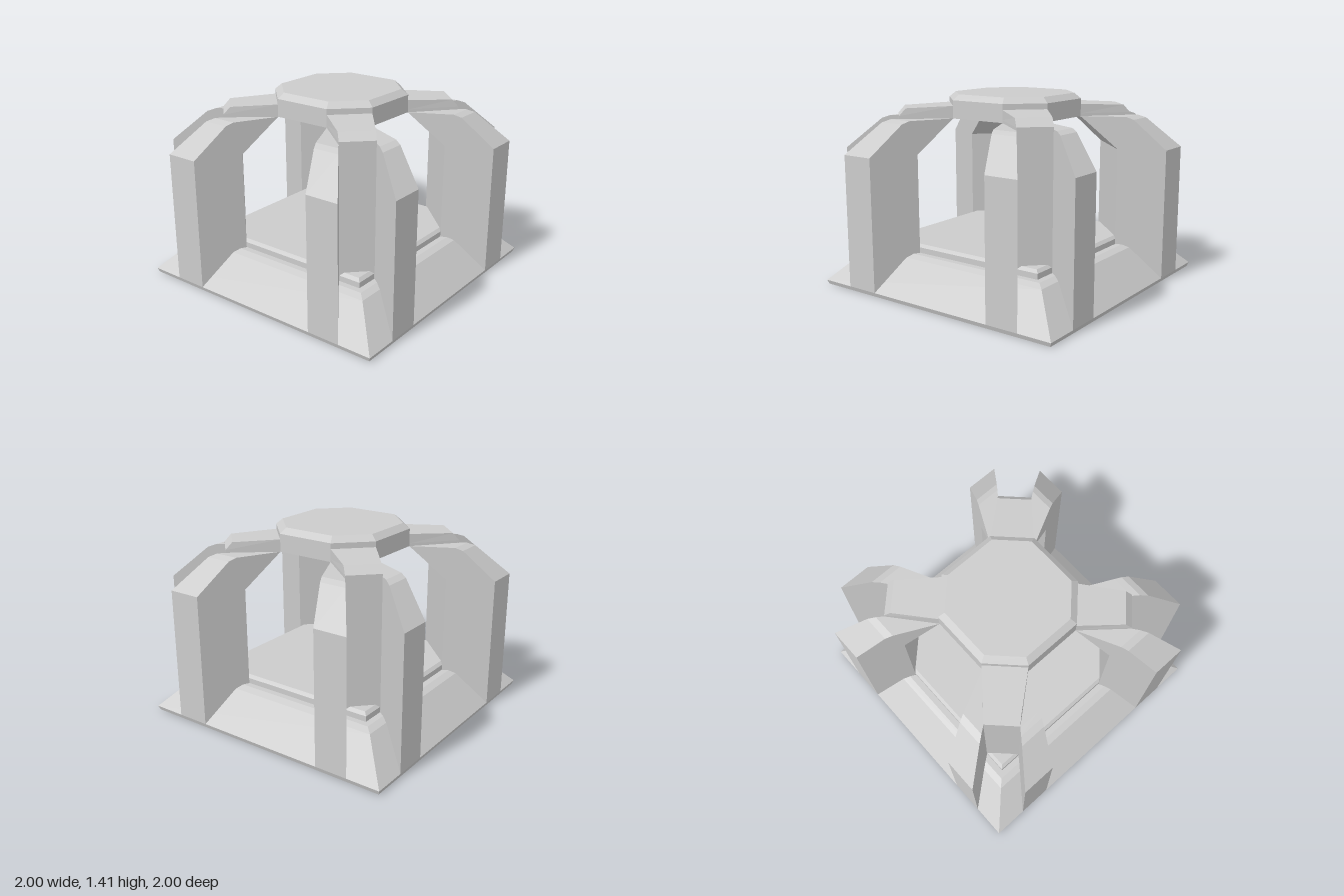
import * as THREE from 'three';

const material = new THREE.MeshStandardMaterial({ color: 0xcccccc, flatShading: true });

// Closed solid through rings of [x, y, z] points, listed from bottom to top
function loft(rings) {
  const n = rings[0].length;
  const pos = [];
  const tri = (...pts) => pts.forEach((p) => pos.push(...p));
  for (let r = 0; r < rings.length - 1; r++) {
    const lo = rings[r], hi = rings[r + 1];
    for (let i = 0; i < n; i++) {
      const j = (i + 1) % n;
      tri(lo[i], lo[j], hi[j]);
      tri(lo[i], hi[j], hi[i]);
    }
  }
  const bottom = rings[0], top = rings[rings.length - 1];
  for (let i = 1; i < n - 1; i++) {
    tri(top[0], top[i], top[i + 1]);
    tri(bottom[0], bottom[i + 1], bottom[i]);
  }
  const geo = new THREE.BufferGeometry();
  geo.setAttribute('position', new THREE.Float32BufferAttribute(pos, 3));
  geo.computeVertexNormals();
  return geo;
}

function part(name, geo) {
  const mesh = new THREE.Mesh(geo, material);
  mesh.name = name;
  return mesh;
}

const square = (s, y) => [[s, y, s], [s, y, -s], [-s, y, -s], [-s, y, s]];

// Octagon with half width a and half straight side b
const octagon = (a, b, y) =>
  [[b, a], [a, b], [a, -b], [b, -a], [-b, -a], [-a, -b], [-a, b], [-b, a]].map(([x, z]) => [x, y, z]);

// Ring symmetric about the corner diagonal, from its first half
const diagonalRing = (half) => [...half, ...half.map(([x, y, z]) => [z, y, x]).reverse()];

// Upright blade whose two sides lie on planes through the centre axis
function bladeGeometry(slope) {
  const profile = [[0.687, 0.03], [1, 0.03], [1, 1], [0.785, 1.22], [0.735, 1.24], [0.687, 1.24]];
  const shape = new THREE.Shape(profile.map(([x, y]) => new THREE.Vector2(x, y)));
  const geo = new THREE.ExtrudeGeometry(shape, { depth: 0.25, bevelEnabled: false });
  const p = geo.attributes.position;
  for (let i = 0; i < p.count; i++) p.setZ(i, (slope + p.getZ(i)) * p.getX(i));
  geo.computeVertexNormals();
  return geo;
}

export function createModel() {
  const model = new THREE.Group();
  model.name = 'pavilion';

  // Sloped base and raised floor slab
  model.add(part('base', loft([
    square(0.99, 0), square(1, 0.03), square(0.78, 0.26), square(0.73, 0.28),
  ])));
  model.add(part('floorSlab', loft([
    square(0.685, 0.27), square(0.685, 0.32), square(0.662, 0.34),
  ])));

  // Roof plate with a chamfered rim
  model.add(part('roofPlate', loft([
    octagon(0.44, 0.22, 1.24), octagon(0.44, 0.22, 1.37), octagon(0.395, 0.2, 1.41),
  ])));

  // Pillar core: straight shaft leaning inwards at the top
  const shaft = (y) => diagonalRing([[0.3435, y, 0.687], [0.3435, y, 0.687], [0.515, y, 0.687]]);
  const coreGeo = loft([
    shaft(0.03), shaft(1),
    diagonalRing([[0.22, 1.24, 0.44], [0.3435, 1.24, 0.687], [0.515, 1.24, 0.687]]),
  ]);

  // Roof arm with a chamfered outer end
  const armGeo = loft([
    diagonalRing([[0.22, 1.235, 0.44], [0.515, 1.235, 0.687]]),
    diagonalRing([[0.22, 1.26, 0.44], [0.515, 1.26, 0.687]]),
    diagonalRing([[0.22, 1.33, 0.44], [0.479, 1.315, 0.653]]),
  ]);
  const sideBladeGeo = bladeGeometry(0.5);
  const frontBladeGeo = bladeGeometry(-0.75);

  // Four identical corner pillars
  for (let i = 0; i < 4; i++) {
    const pillar = new THREE.Group();
    pillar.name = 'cornerPillar';
    const frontBlade = part('frontBlade', frontBladeGeo);
    frontBlade.rotation.y = -Math.PI / 2;
    pillar.add(part('pillarCore', coreGeo), part('roofArm', armGeo), part('sideBlade', sideBladeGeo), frontBlade);
    pillar.rotation.y = (i * Math.PI) / 2;
    model.add(pillar);
  }
  return model;
}
